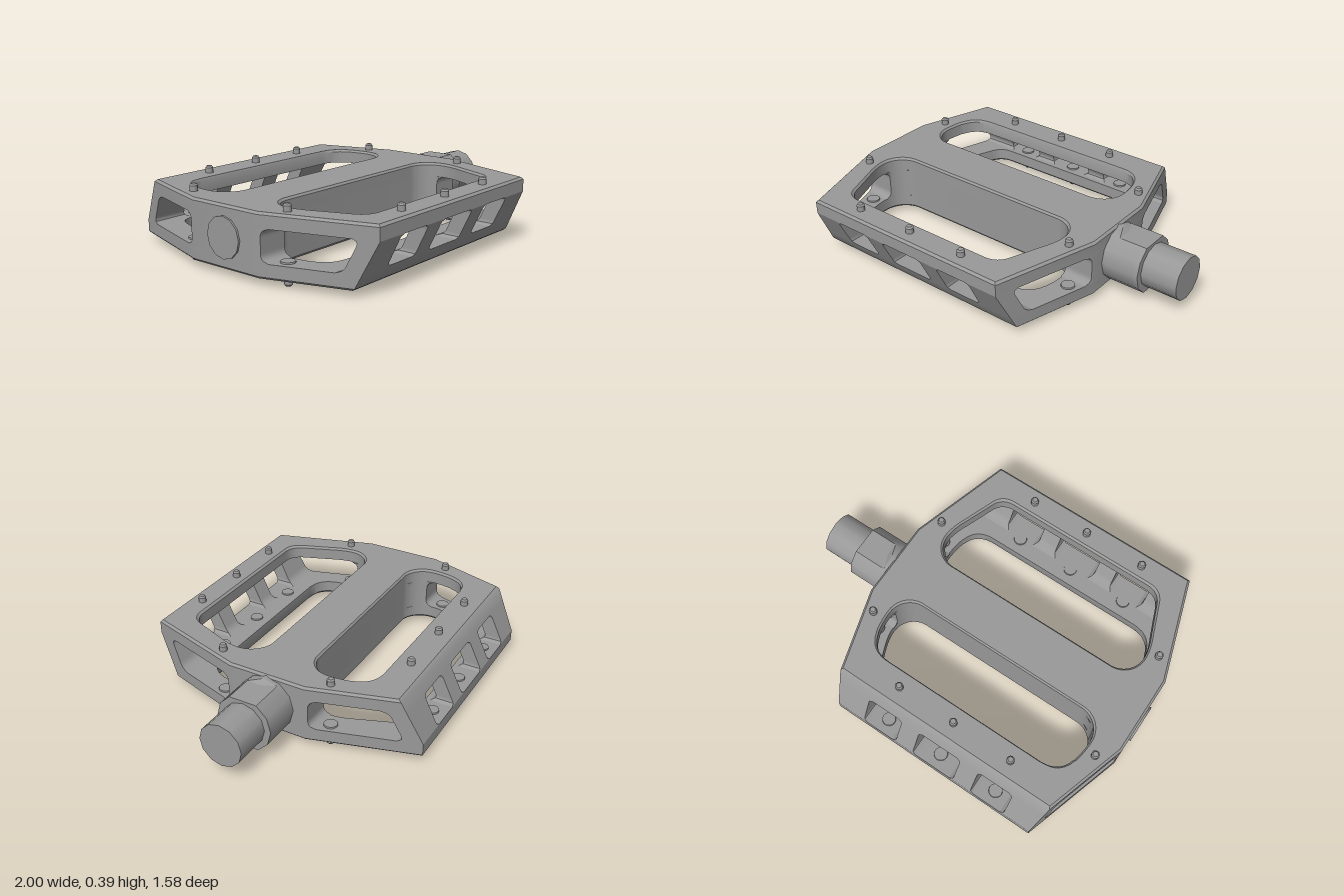
import * as THREE from 'three';
import { toCreasedNormals } from 'three/addons/utils/BufferGeometryUtils.js';

const T = 0.16;       // half thickness of the body
const W = 0.083;      // half height of the side windows
const CX = -0.2;      // x of the body's middle
const BEVEL = 0.012;
const lerp = THREE.MathUtils.lerp;

// body outline: straight sides that taper towards the front and back
const taper = (z) => Math.max(0, (z - 0.22) / 0.57);
const leftX = (z) => -0.99 + 0.18 * taper(z);
const rightX = (z) => 0.59 - 0.17 * taper(z);
// front face: upright at the top bar, sloping inwards below it
const frontZ = (y) => (y >= W ? 0.79 : lerp(0.67, 0.79, (y + T) / (W + T)));

// extrudes a plan shape (x, z) downwards from y1 to y0, then moves each vertex by a rule
function prism(shape, y0, y1, steps, rule) {
  const g = new THREE.ExtrudeGeometry(shape, { depth: y1 - y0, steps, bevelEnabled: false, curveSegments: 10 });
  g.rotateX(Math.PI / 2).translate(0, y1, 0);
  const p = g.attributes.position;
  const v = new THREE.Vector3();
  for (let i = 0; i < p.count; i++) {
    v.fromBufferAttribute(p, i);
    rule(v);
    p.setXYZ(i, v.x, v.y, v.z);
  }
  return toCreasedNormals(g, 0.55);
}

// fillet offset near the top and bottom of the windows
function flare(y, r) {
  const d = Math.min(r, Math.max(0, W - Math.abs(y)));
  return r - Math.sqrt(Math.max(0, r * r - (r - d) ** 2));
}

// slot with round inner ends; a = end of the curved side, b = start of the corner,
// c = corner control, e = end of the corner
function slot(a, b, c, e) {
  const m = (x) => 2 * CX - x;
  const s = new THREE.Path();
  s.moveTo(m(0.3), 0.14);
  s.lineTo(0.3, 0.14);
  s.absarc(0.3, 0.27, 0.13, -Math.PI / 2, 0, false);
  s.quadraticCurveTo(0.43, 0.33, a[0], a[1]);
  s.lineTo(b[0], b[1]);
  s.quadraticCurveTo(c[0], c[1], e[0], e[1]);
  s.lineTo(m(e[0]), e[1]);
  s.quadraticCurveTo(m(c[0]), c[1], m(b[0]), b[1]);
  s.lineTo(m(a[0]), a[1]);
  s.quadraticCurveTo(m(0.43), 0.33, m(0.43), 0.27);
  s.absarc(m(0.3), 0.27, 0.13, Math.PI, Math.PI * 1.5, false);
  return s;
}

// half of the top or bottom plate, with softened outer face edges
function plate(hole, dir) {
  const s = new THREE.Shape([
    [-0.99, 0], [0.59, 0], [0.59, 0.22], [0.42, 0.79], [-0.81, 0.79], [-0.99, 0.22],
  ].map((q) => new THREE.Vector2(...q)));
  s.holes.push(hole);
  const y0 = dir > 0 ? W : -T;
  const y1 = dir > 0 ? T : -W;
  return prism(s, y0, y1, 2, (v) => {
    const face = Math.abs(v.y) > T - 0.001;
    if (!face && Math.abs(v.y) > W + 0.001) v.y = dir * (T - BEVEL);
    const outer = Math.abs(v.x - CX) > 0.7 || v.z > 0.7;
    if (v.z > 0.7) {
      v.z = frontZ(v.y);
      v.x = v.x < CX ? leftX(v.z) : rightX(v.z);
    }
    if (!face) return;
    if (outer) {
      v.x = CX + (v.x - CX) * 0.985;
      v.z *= 0.985;
    } else {
      v.x = CX + (v.x - CX) * 1.015;
      v.z = 0.35 + (v.z - 0.35) * 1.04;
    }
  });
}

// half of the axle housing between the plates, wider where it meets the sides
function housing() {
  const z = 0.235;
  const a = Math.asin((0.27 - z) / 0.13);
  const s = new THREE.Shape();
  s.moveTo(-0.99, 0);
  s.lineTo(0.59, 0);
  s.lineTo(0.59, 0.22);
  s.lineTo(rightX(z), z);
  s.absarc(0.3, 0.27, 0.13, -a, -Math.PI / 2, true);
  s.absarc(-0.7, 0.27, 0.13, -Math.PI / 2, -Math.PI + a, true);
  s.lineTo(leftX(z), z);
  s.lineTo(-0.99, 0.22);
  return prism(s, -W, W, 16, (v) => {
    if (v.z < z - 0.002) return;
    v.z += flare(v.y, 0.04);
    if (v.x < -0.9) v.x = leftX(v.z);
    if (v.x > 0.5) v.x = rightX(v.z);
  });
}

// sloping post between windows; a null side follows the body's outline
function post(x0, x1) {
  const s = new THREE.Shape([[0, 0], [1, 0], [1, 1], [0, 1]].map((q) => new THREE.Vector2(...q)));
  return prism(s, -W, W, 16, (v) => {
    const inner = lerp(0.62, 0.7, (v.y + W) / (2 * W)) - flare(v.y, 0.035);
    const f = flare(v.y, 0.022);
    v.z = v.z < 0.5 ? inner : frontZ(v.y);
    if (v.x < 0.5) v.x = x0 === null ? leftX(v.z) : x0 - f;
    else v.x = x1 === null ? rightX(v.z) : x1 + f;
  });
}

// round part along x
function axlePart(r, x0, x1, segments = 1) {
  const g = new THREE.CylinderGeometry(r, r, x1 - x0, 12, segments);
  return g.rotateZ(-Math.PI / 2).translate((x0 + x1) / 2, 0, 0);
}

export function createModel() {
  const metal = new THREE.MeshStandardMaterial({ color: 0x999999 });
  metal.name = 'grey metal';
  const model = new THREE.Group();
  model.name = 'platformPedal';
  const add = (parent, name, geometry) => {
    const m = new THREE.Mesh(geometry, metal);
    m.name = name;
    parent.add(m);
    return m;
  };

  // front half of the body
  const half = new THREE.Group();
  half.name = 'frontHalf';
  const wideSlot = slot([0.395, 0.41], [0.335, 0.565], [0.31, 0.64], [0.23, 0.64]);
  const narrowSlot = slot([0.415, 0.39], [0.41, 0.4], [0.38, 0.495], [0.27, 0.495]);
  add(half, 'topPlate', plate(wideSlot, 1));
  add(half, 'bottomPlate', plate(narrowSlot, -1));
  add(half, 'axleHousing', housing());
  for (const [x0, x1] of [[null, -0.65], [-0.44, -0.33], [-0.07, 0.04], [0.25, null]]) {
    add(half, 'windowPost', post(x0, x1));
  }

  // grip pins, each with a screw head inside the window
  const pinGeometry = new THREE.LatheGeometry(
    [[0.021, -0.01], [0.021, 0.028], [0.014, 0.037], [0, 0.037]].map((q) => new THREE.Vector2(...q)), 12);
  const pinShape = toCreasedNormals(pinGeometry, 0.55);
  const headShape = new THREE.CylinderGeometry(0.036, 0.038, 0.012, 16);
  for (const dir of [1, -1]) {
    const z = dir > 0 ? 0.71 : 0.58;
    for (const [px, pz] of [[-0.55, z], [-0.2, z], [0.14, z], [-0.89, 0.318], [0.5, 0.318]]) {
      const pin = add(half, 'gripPin', pinShape);
      pin.position.set(px, dir * T, pz);
      const head = add(half, 'pinHead', headShape);
      head.position.set(px, dir * (W - 0.002), pz);
      if (dir < 0) pin.rotation.x = Math.PI;
      else head.rotation.x = Math.PI;
    }
  }
  model.add(half);

  // the back half is the front half turned over
  const back = half.clone();
  back.name = 'backHalf';
  back.rotation.x = Math.PI;
  model.add(back);

  // axle: collar with wrench flats, shaft and end cap
  const collar = axlePart(0.155, 0.58, 0.8, 7);
  const p = collar.attributes.position;
  for (let i = 0; i < p.count; i++) {
    if (p.getX(i) > 0.64) p.setY(i, THREE.MathUtils.clamp(p.getY(i), -0.134, 0.134));
  }
  add(model, 'axleCollar', toCreasedNormals(collar, 0.55));
  add(model, 'axleShaft', axlePart(0.12, 0.79, 1));
  add(model, 'endCap', axlePart(0.107, -1, -0.97));

  for (const child of model.children) child.position.y = 0.197;
  return model;
}
